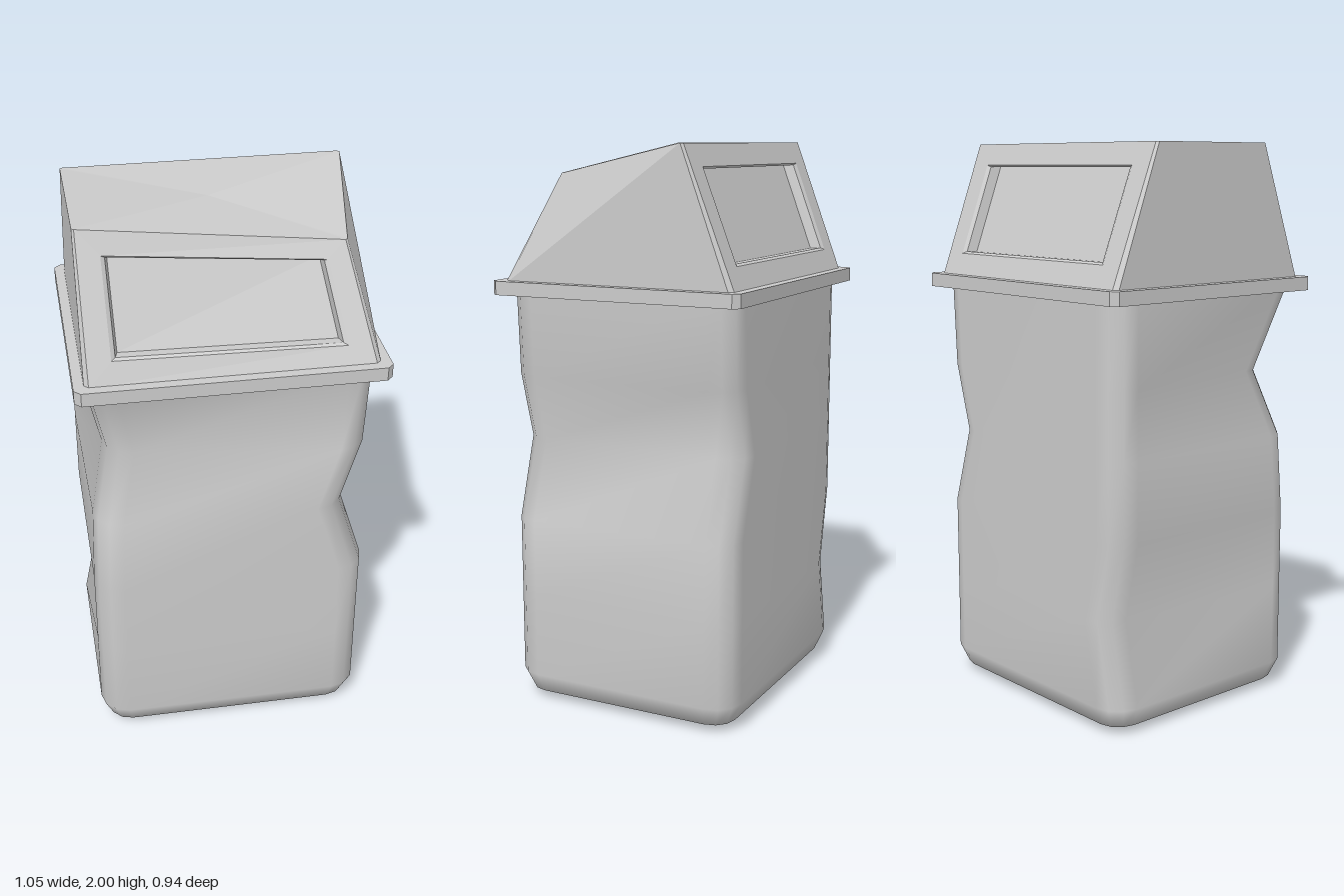
import * as THREE from 'three';

const grey = new THREE.MeshStandardMaterial({ color: 0xcccccc, side: THREE.DoubleSide });
const V = (x, y, z) => new THREE.Vector3(x, y, z);

function addMesh(group, name, geometry) {
  const mesh = new THREE.Mesh(geometry, grey);
  mesh.name = name;
  group.add(mesh);
  return mesh;
}

// Flat-faced geometry from quads [bl, br, tr, tl], counter-clockwise from outside
function quadGeometry(quads) {
  const points = quads.flatMap(([a, b, c, d]) => [a, b, c, a, c, d]);
  const g = new THREE.BufferGeometry().setFromPoints(points);
  g.computeVertexNormals();
  return g;
}

// Smooth loft through equal-length rings, with optional fans at the ends
function loft(rings, capBottom) {
  const n = rings[0].length, index = [], points = rings.flat();
  for (let r = 0; r < rings.length - 1; r++) {
    for (let i = 0; i < n; i++) {
      const j = (i + 1) % n, a = r * n + i, b = r * n + j;
      index.push(a, a + n, b, b, a + n, b + n);
    }
  }
  if (capBottom) {
    points.push(V(0, rings[0][0].y, 0));
    for (let i = 0; i < n; i++) index.push(points.length - 1, i, (i + 1) % n);
  }
  const g = new THREE.BufferGeometry().setFromPoints(points);
  g.setIndex(index);
  g.computeVertexNormals();
  return g;
}

// Dents per corner: [x sign, z sign, { height: [dx, dz] }]
const sideDent = { 1.5: [-0.005, 0], 1.2: [-0.02, 0], 0.96: [-0.09, 0] };
const dents = [
  [1, 1, sideDent],
  [-1, 1, { 1.2: [0.06, -0.1], 0.96: [0.01, -0.015] }],
  [-1, -1, { 0.4: [0.06, 0] }],
  [1, -1, sideDent],
];

// Rounded rectangular ring, each corner shifted by its dent at this height
function bodyRing(y, inset) {
  const radius = 0.1 - inset * 0.6, ring = [];
  dents.forEach(([sx, sz, table], k) => {
    const [dx, dz] = table[y] || [0, 0];
    for (let s = 0; s <= 3; s++) {
      const t = (k + s / 3) * Math.PI / 2;
      ring.push(V(
        sx * (0.49 - inset - radius) + radius * Math.cos(t) + dx, y,
        sz * (0.435 - inset - radius) + radius * Math.sin(t) + dz));
    }
  });
  return ring;
}

// Lid corner: bottom or top level, with a small chamfer along x or z
function lidCorner(sx, sz, top, onSide) {
  const c = top ? 0.008 : 0.015;
  const pushed = top && sx > 0 && sz > 0;
  const x = pushed ? 0.4 : 0.49;
  const z = top ? 0.255 : 0.435;
  const y = top ? (pushed ? 1.9 : 2) : 1.53;
  return V(sx * (x - (onSide ? 0 : c)), y, sz * (z - (onSide ? c : 0)));
}

// Lid end wall with a recessed opening; returns wall quads and the flap quad
function windowWall(s) {
  const bl = lidCorner(-s, s, false), br = lidCorner(s, s, false);
  const tr = lidCorner(s, s, true), tl = lidCorner(-s, s, true);
  const at = (u, v) => bl.clone().lerp(br, u).lerp(tl.clone().lerp(tr, u), v);
  const outer = [bl, br, tr, tl];
  const ring = (a, b, lo, hi) => [at(a, lo), at(b, lo), at(b, hi), at(a, hi)];
  const opening = ring(0.085, 0.915, 0.165, 0.84);
  const lip = ring(0.1, 0.9, 0.18, 0.825).map(p => p.add(V(0, 0, -0.008 * s)));
  const back = ring(0.11, 0.89, 0.175, 0.825).map(p => p.add(V(0, 0, -0.045 * s)));
  const quads = [];
  const loops = [outer, opening, lip, back];
  for (let k = 0; k < 3; k++) {
    for (let i = 0; i < 4; i++) {
      const j = (i + 1) % 4;
      quads.push([loops[k][i], loops[k][j], loops[k + 1][j], loops[k + 1][i]]);
    }
  }
  return { quads, flap: back };
}

export function createModel() {
  const model = new THREE.Group();
  model.name = 'dentedTrashBin';

  // Dented bin body
  const levels = [[0, 0.1], [0.03, 0.03], [0.1, 0], [0.4, 0], [0.68, 0], [0.96, 0], [1.2, 0], [1.5, 0]];
  addMesh(model, 'binBody', loft(levels.map(([y, inset]) => bodyRing(y, inset)), true));

  // Rim slab with clipped corners
  const X = 0.525, Z = 0.47, c = 0.022;
  const outline = [[X, -Z + c], [X, Z - c], [X - c, Z], [c - X, Z], [-X, Z - c], [-X, c - Z], [c - X, -Z], [X - c, -Z]];
  const rimShape = new THREE.Shape(outline.map(([x, z]) => new THREE.Vector2(x, -z)));
  const rim = addMesh(model, 'rim', new THREE.ExtrudeGeometry(rimShape, { depth: 0.048, bevelEnabled: false }));
  rim.rotation.x = -Math.PI / 2;
  rim.position.y = 1.485;

  // Lid
  const lid = new THREE.Group();
  lid.name = 'lid';
  model.add(lid);
  for (const s of [1, -1]) {
    const end = s > 0 ? 'front' : 'back';
    const wall = windowWall(s);
    addMesh(lid, end + 'LidWall', quadGeometry(wall.quads));
    addMesh(lid, end + 'Flap', quadGeometry([wall.flap]));

    // Side wall on the same sign of x
    const side = [[s, false], [-s, false], [-s, true], [s, true]].map(([sz, top]) => lidCorner(s, sz, top, true));
    addMesh(lid, (s > 0 ? 'left' : 'right') + 'LidWall', quadGeometry([side]));
  }

  // Chamfer strips on the four lid corners
  const strips = dents.map(([sx, sz]) => {
    const swap = sx * sz < 0;
    return [lidCorner(sx, sz, false, swap), lidCorner(sx, sz, false, !swap),
      lidCorner(sx, sz, true, !swap), lidCorner(sx, sz, true, swap)];
  });
  addMesh(lid, 'lidCorners', quadGeometry(strips));

  // Softly warped lid top
  const topRing = strips.flatMap(q => [q[2], q[3]]);
  const centre = V(-0.02, 1.975, 0);
  addMesh(lid, 'lidTop', loft([topRing, topRing.map(() => centre)], false));

  return model;
}
